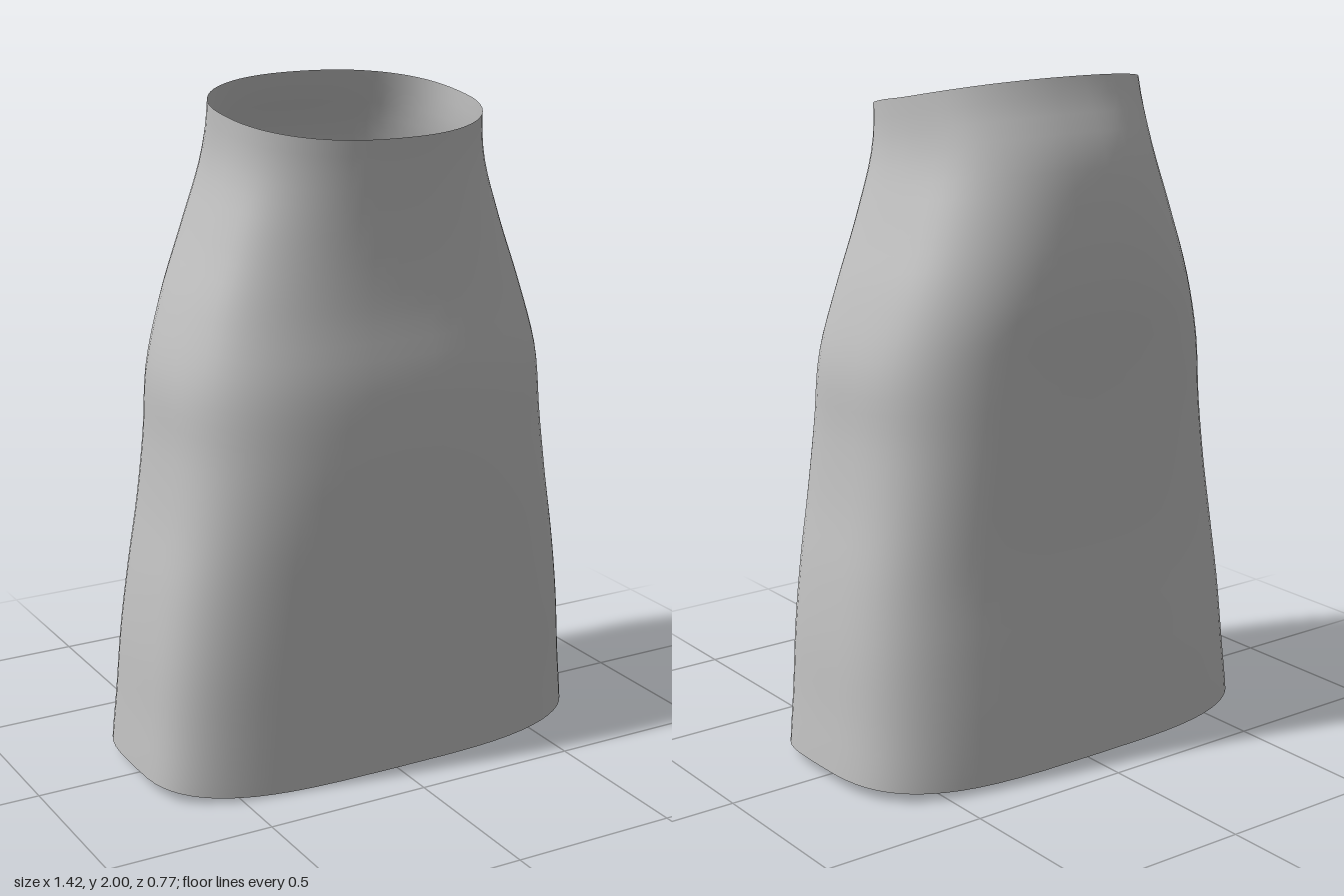
import * as THREE from 'three';

// Profiles sampled every 0.2 in height, from hem to waist
const profile = (values) => {
  const curve = new THREE.SplineCurve(values.map((v, i) => new THREE.Vector2(v, i * 0.2)));
  return (y) => curve.getPoint(THREE.MathUtils.clamp(y / 2, 0, 1)).x;
};
const halfWidth = profile([0.712, 0.695, 0.68, 0.655, 0.622, 0.6, 0.588, 0.535, 0.465, 0.408, 0.404]);
const frontZ = profile([0.348, 0.355, 0.365, 0.375, 0.385, 0.388, 0.38, 0.348, 0.331, 0.331, 0.346]);
const backZ = profile([-0.386, -0.378, -0.365, -0.353, -0.353, -0.36, -0.371, -0.385, -0.376, -0.34, -0.255]);
const squareness = profile([3.5, 3.4, 3.3, 3.2, 3.1, 2.9, 2.7, 2.6, 2.5, 2.35, 2.25]);

const SEGMENTS = 64;
const ROWS = 40;
const CENTRE_Z = 0.035;

const signedPower = (v, p) => Math.sign(v) * Math.pow(Math.abs(v), p);

// Open tube of rounded cross-sections between the curved hem and the sloping waist
function skirtGeometry() {
  const positions = [];
  const indices = [];
  for (let j = 0; j <= ROWS; j++) {
    for (let i = 0; i < SEGMENTS; i++) {
      const a = (i / SEGMENTS) * Math.PI * 2;
      const c = Math.cos(a);
      const s = Math.sin(a);
      const hem = 0.035 * c * c + (s < 0 ? 0.015 * s * s : 0);
      const waist = 1.94 - 0.06 * s;
      const y = THREE.MathUtils.lerp(hem, waist, j / ROWS);
      const p = 2 / squareness(y);
      const depth = s > 0 ? frontZ(y) - CENTRE_Z : CENTRE_Z - backZ(y);
      positions.push(halfWidth(y) * signedPower(c, p), y, CENTRE_Z + depth * signedPower(s, p));
      if (j < ROWS) {
        const next = (i + 1) % SEGMENTS;
        const a0 = j * SEGMENTS + i;
        const b0 = j * SEGMENTS + next;
        indices.push(a0, a0 + SEGMENTS, b0, b0, a0 + SEGMENTS, b0 + SEGMENTS);
      }
    }
  }
  const geometry = new THREE.BufferGeometry();
  geometry.setAttribute('position', new THREE.Float32BufferAttribute(positions, 3));
  geometry.setIndex(indices);
  geometry.computeVertexNormals();
  return geometry;
}

export function createModel() {
  const group = new THREE.Group();
  group.name = 'skirtModel';
  const fabric = new THREE.MeshStandardMaterial({ color: 0xc0c0c0, side: THREE.DoubleSide });
  fabric.name = 'grey fabric';
  const skirt = new THREE.Mesh(skirtGeometry(), fabric);
  skirt.name = 'skirt';
  group.add(skirt);
  return group;
}
